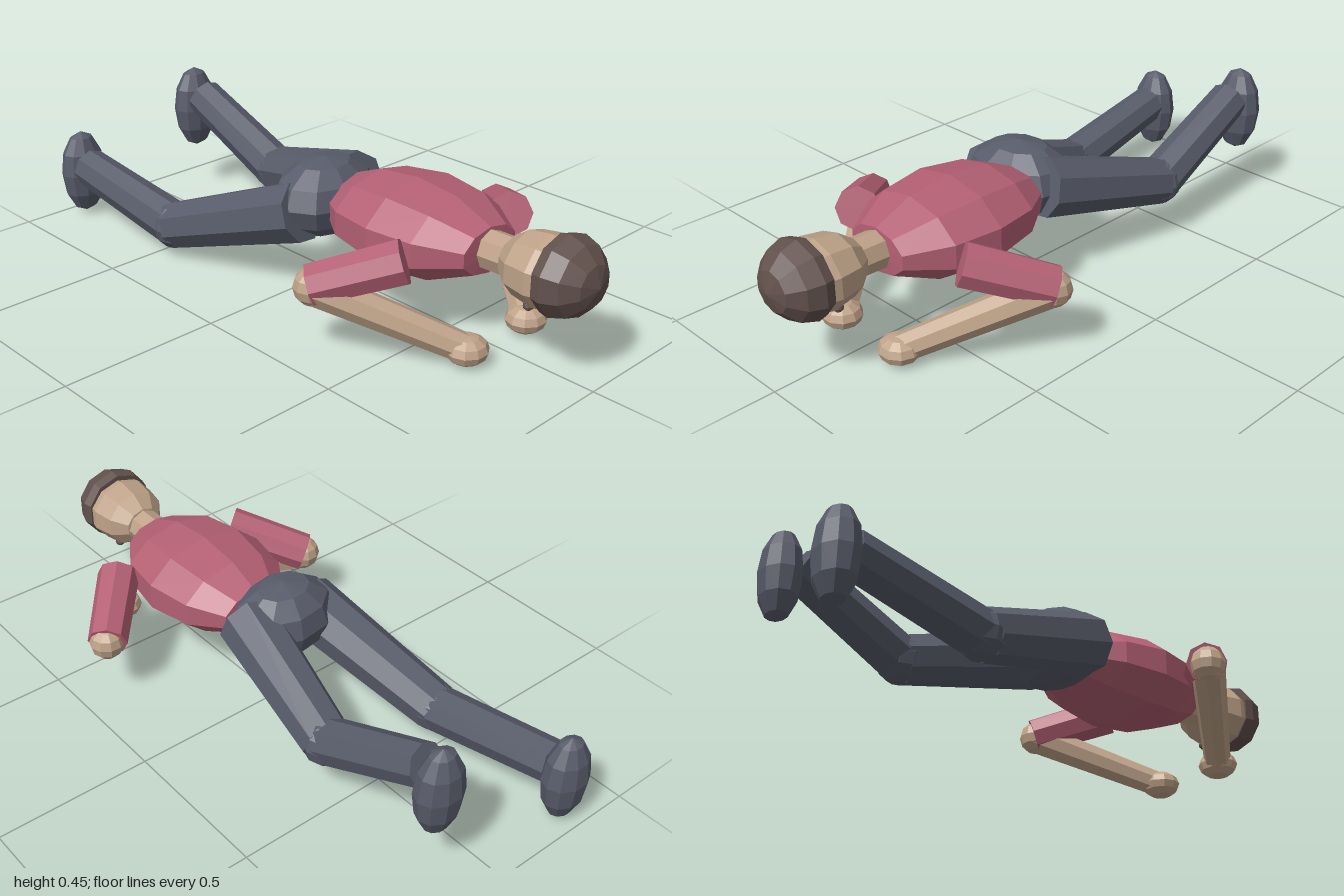
import * as THREE from 'three';

export function createModel() {
  const model = new THREE.Group();
  model.name = 'proneFigure';
  const paint = (name, color) => {
    const m = new THREE.MeshStandardMaterial({ color, flatShading: true });
    m.name = name;
    return m;
  };
  const skin = paint('skin', 0xbfa389);
  const shirt = paint('shirt', 0xb36073);
  const trousers = paint('trousers', 0x585c6a);
  const hairBrown = paint('hair', 0x62514d);

  const add = (name, geometry, material, pos = [0, 0, 0]) => {
    const mesh = new THREE.Mesh(geometry, material);
    mesh.name = name;
    mesh.position.set(...pos);
    model.add(mesh);
    return mesh;
  };

  // Low-poly ellipsoid with its poles along y
  const blob = (name, pos, size, material) =>
    add(name, new THREE.SphereGeometry(1, 10, 6).scale(...size), material, pos);

  // Tapered eight-sided limb between two points
  const limb = (name, a, b, ra, rb, material) => {
    const from = new THREE.Vector3(...a), to = new THREE.Vector3(...b);
    const dir = to.clone().sub(from);
    const mesh = add(name, new THREE.CylinderGeometry(rb, ra, dir.length(), 8), material);
    mesh.position.copy(from).add(to).multiplyScalar(0.5);
    mesh.quaternion.setFromUnitVectors(new THREE.Vector3(0, 1, 0), dir.normalize());
    return mesh;
  };

  // Turned shape along z; profile is [radius, z], squashed in height
  const turned = (name, profile, squash, y, material) => {
    const pts = profile.map(([r, z]) => new THREE.Vector2(r, z));
    const g = new THREE.LatheGeometry(pts, 10).rotateX(Math.PI / 2).scale(1, squash, 1);
    return add(name, g, material, [0, y, 0]);
  };

  // Torso, neck and head, lying along z
  turned('torso', [[0, 0.085], [0.12, 0.09], [0.195, 0.2], [0.225, 0.35], [0.2, 0.5], [0.115, 0.625], [0, 0.63]],
    0.61, 0.293, shirt);
  limb('neck', [0, 0.295, 0.56], [0, 0.3, 0.76], 0.06, 0.058, skin);
  turned('head', [[0, 0.695], [0.065, 0.705], [0.106, 0.755], [0.119, 0.83], [0.105, 0.9], [0, 0.96]],
    0.9, 0.303, skin);
  turned('hair', [[0, 0.85], [0.12, 0.855], [0.127, 0.885], [0.11, 0.935], [0.066, 0.975], [0, 0.993]],
    0.95, 0.308, hairBrown);

  // Pelvis, turned slightly towards the lower leg
  blob('pelvis', [-0.052, 0.292, 0.015], [0.183, 0.124, 0.142], trousers).rotation.y = 0.15;

  // Arms, mirrored
  for (const [side, s] of [['left', 1], ['right', -1]]) {
    const elbow = [s * 0.4, 0.214, 0.332], hand = [s * 0.13, 0.047, 0.668];
    limb(side + 'UpperArm', [s * 0.228, 0.296, 0.515], [s * 0.402, 0.217, 0.325], 0.068, 0.063, shirt);
    blob(side + 'Elbow', elbow, [0.056, 0.056, 0.056], skin);
    limb(side + 'Forearm', elbow, hand, 0.054, 0.043, skin);
    blob(side + 'Hand', hand, [0.065, 0.044, 0.062], skin);
    blob(side + 'Eye', [s * 0.042, 0.202, 0.8], [0.016, 0.014, 0.016], hairBrown);
  }

  // Legs, each in its own pose
  const legs = [
    ['left', [0.065, 0.303, 0.04], [0.145, 0.187, -0.425], [0.133, 0.36, -0.805], [0.133, 0.31, -0.855]],
    ['right', [-0.168, 0.275, 0.04], [-0.277, 0.103, -0.452], [-0.3, 0.182, -0.9], [-0.302, 0.157, -0.937]],
  ];
  for (const [side, hip, knee, ankle, foot] of legs) {
    limb(side + 'Thigh', hip, knee, 0.098, 0.078, trousers);
    blob(side + 'Knee', knee, [0.077, 0.077, 0.077], trousers);
    limb(side + 'Shin', knee, ankle, 0.073, 0.065, trousers);
    blob(side + 'Foot', foot, [0.08, 0.146, 0.062], trousers);
  }
  return model;
}
